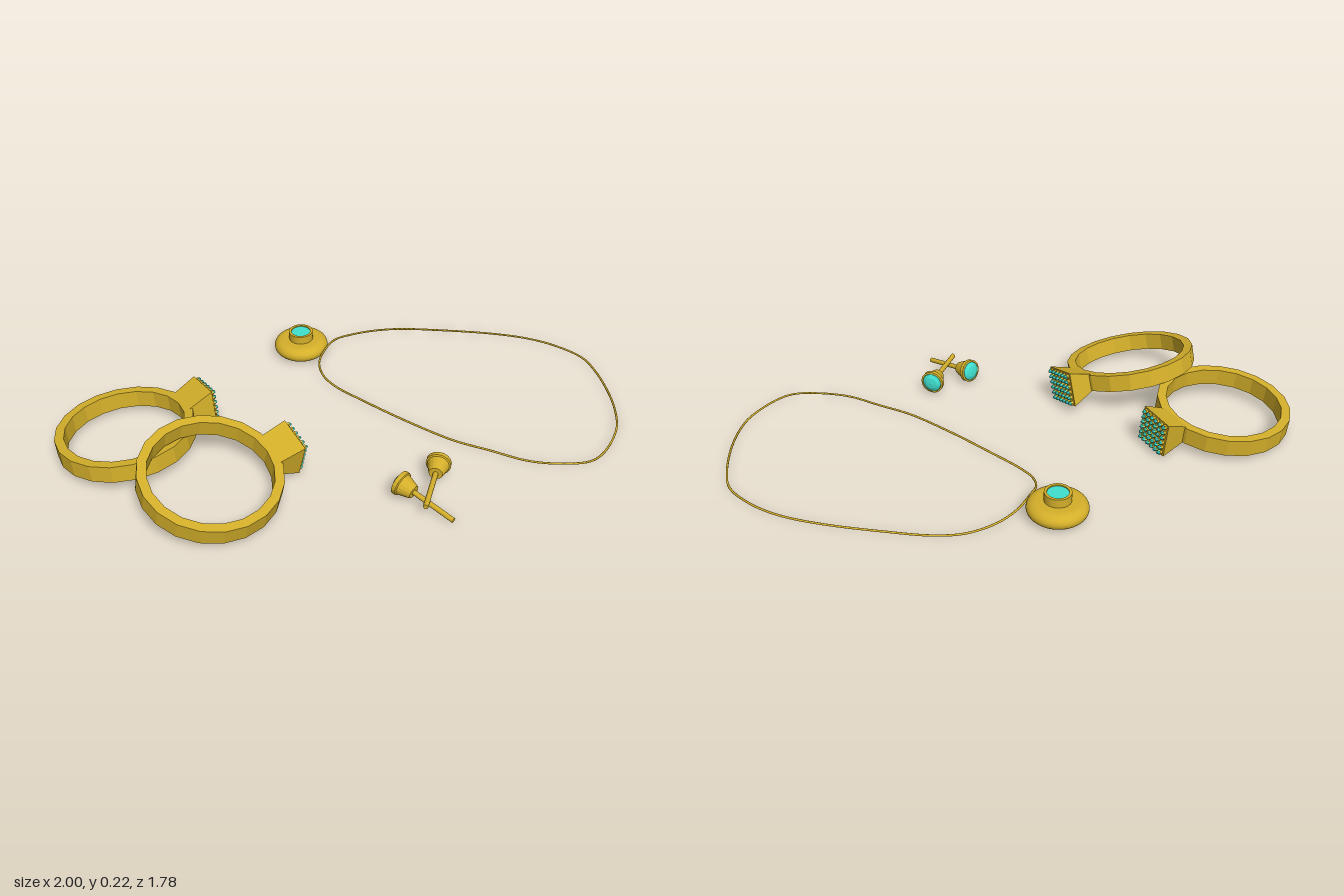
import * as THREE from 'three';

const gold = new THREE.MeshStandardMaterial({ color: 0xd4af2a });
const goldFlat = new THREE.MeshStandardMaterial({ color: 0xd4af2a, flatShading: true });
const teal = new THREE.MeshStandardMaterial({ color: 0x40e0d0, flatShading: true });

function add(parent, name, geometry, material) {
  const mesh = new THREE.Mesh(geometry, material);
  mesh.name = name;
  parent.add(mesh);
  return mesh;
}

function lathe(profile, segments) {
  return new THREE.LatheGeometry(profile.map(([r, y]) => new THREE.Vector2(r, y)), segments);
}

// Faceted band with a flared square head carrying a grid of stones
function makeRing(name, position, tilt, yaw) {
  const ring = new THREE.Group();
  ring.name = name;
  const h = 0.036;
  add(ring, 'band', lathe([[0.277, -h], [0.277, h], [0.24, h], [0.24, -h], [0.277, -h]], 20), goldFlat);

  // Head: a box that widens outward along x
  const head = new THREE.BoxGeometry(0.105, 1, 1);
  const p = head.attributes.position;
  for (let i = 0; i < p.count; i++) {
    const outer = p.getX(i) > 0;
    p.setY(i, p.getY(i) * (outer ? 0.15 : 0.072));
    p.setZ(i, p.getZ(i) * (outer ? 0.156 : 0.144));
  }
  head.translate(0.3075, 0, 0);
  add(ring, 'head', head, goldFlat);

  // Small faceted stones in round settings
  const n = 6, step = 0.0245;
  const settingGeo = new THREE.CylinderGeometry(0.011, 0.011, 0.012, 6).rotateZ(-Math.PI / 2);
  const stoneGeo = new THREE.CylinderGeometry(0.005, 0.0095, 0.01, 6).rotateZ(-Math.PI / 2);
  for (let i = 0; i < n; i++) {
    for (let j = 0; j < n; j++) {
      const y = (i - (n - 1) / 2) * step, z = (j - (n - 1) / 2) * step;
      add(ring, 'stoneSetting', settingGeo, goldFlat).position.set(0.365, y, z);
      add(ring, 'smallStone', stoneGeo, teal).position.set(0.376, y, z);
    }
  }
  ring.position.set(...position);
  ring.rotation.set(tilt, yaw, 0);
  return ring;
}

// Stud earring: post end at the base point, head pointing along the direction
function makeStud(name, base, direction) {
  const stud = new THREE.Group();
  stud.name = name;
  add(stud, 'post', new THREE.CylinderGeometry(0.0105, 0.0105, 0.2, 10).translate(0, 0.1, 0), gold);
  add(stud, 'cup', lathe([[0, 0.19], [0.027, 0.19], [0.031, 0.2], [0.044, 0.242], [0.05, 0.245],
    [0.05, 0.262], [0.043, 0.264], [0.04, 0.258], [0, 0.258]], 16), goldFlat);
  add(stud, 'stone', lathe([[0.043, 0.258], [0.041, 0.264], [0.025, 0.273], [0, 0.276]], 16), teal);
  stud.position.set(...base);
  stud.quaternion.setFromUnitVectors(new THREE.Vector3(0, 1, 0), new THREE.Vector3(...direction).normalize());
  return stud;
}

// Rounded disc with a raised collar around a flat stone
function makePendant() {
  const pendant = new THREE.Group();
  pendant.name = 'pendant';
  const body = [];
  for (let i = 0; i <= 16; i++) {
    const a = -Math.PI / 2 + (Math.PI * i) / 16;
    body.push([0.078 + 0.041 * Math.cos(a), 0.038 + 0.033 * Math.sin(a)]);
  }
  add(pendant, 'disc', lathe([[0, 0.002], ...body, [0, 0.073]], 40), gold);
  add(pendant, 'collar', lathe([[0.053, 0.06], [0.053, 0.108], [0.042, 0.108], [0.042, 0.08]], 32), goldFlat);
  add(pendant, 'stone', new THREE.CylinderGeometry(0.042, 0.042, 0.02, 32).translate(0, 0.093, 0), teal);
  pendant.position.set(0.23, 0, -0.538);
  return pendant;
}

// Closed chain lying on the ground, lifted where it meets the pendant
function makeChain(parent) {
  const path = [
    [0.115, 0.01, -0.24], [0.135, 0.018, -0.325], [0.18, 0.03, -0.385], [0.25, 0.042, -0.418],
    [0.35, 0.038, -0.443], [0.445, 0.022, -0.43], [0.555, 0.01, -0.38], [0.645, 0.008, -0.3],
    [0.75, 0.008, -0.16], [0.885, 0.008, 0.045], [0.96, 0.008, 0.195], [0.993, 0.008, 0.325],
    [0.991, 0.008, 0.47], [0.945, 0.008, 0.56], [0.84, 0.008, 0.69], [0.735, 0.008, 0.785],
    [0.635, 0.008, 0.845], [0.47, 0.008, 0.88], [0.39, 0.008, 0.865], [0.305, 0.008, 0.785],
    [0.235, 0.008, 0.675], [0.19, 0.008, 0.52], [0.148, 0.008, 0.375], [0.125, 0.008, 0.165],
    [0.115, 0.008, -0.075],
  ].map((q) => new THREE.Vector3(...q));
  const curve = new THREE.CatmullRomCurve3(path, true);
  add(parent, 'chain', new THREE.TubeGeometry(curve, 160, 0.0045, 6, true), gold);
}

export function createModel() {
  const model = new THREE.Group();
  model.name = 'jewellerySet';
  model.add(makeRing('backRing', [-0.722, 0.076, -0.614], -0.09, -0.26));
  model.add(makeRing('frontRing', [-0.722, 0.117, -0.124], 0.26, -0.27));
  model.add(makeStud('firstStud', [-0.235, 0.013, 0.651], [0, 0.17, -1]));
  model.add(makeStud('secondStud', [-0.28, 0.055, 0.553], [0.9, 0.01, -0.43]));
  model.add(makePendant());
  makeChain(model);
  return model;
}
